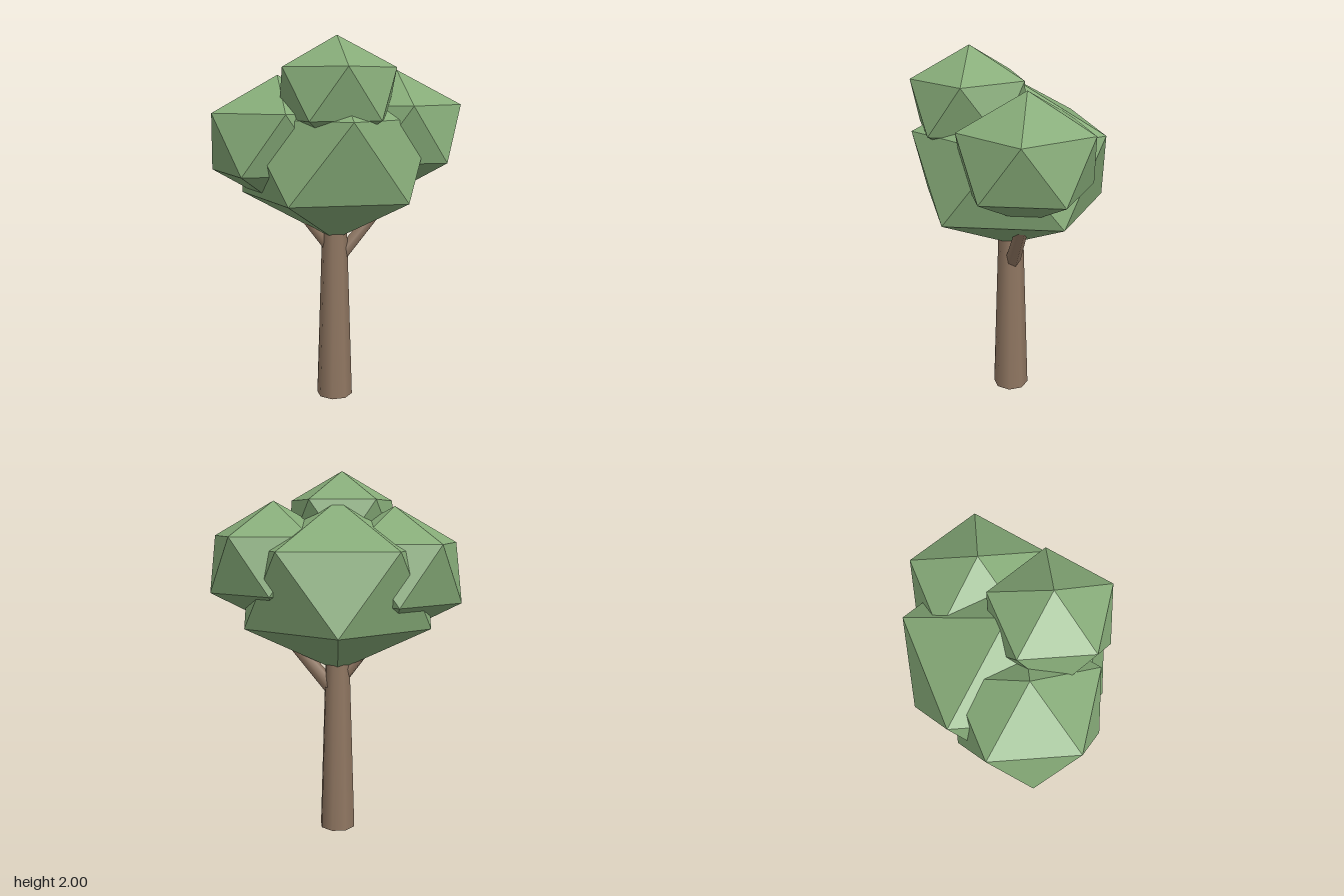
import * as THREE from 'three';

export function createModel() {
  const tree = new THREE.Group();
  tree.name = 'tree';

  const leafGreen = new THREE.MeshStandardMaterial({ color: 0x86ab78 });
  leafGreen.name = 'leaf green';
  const barkBrown = new THREE.MeshStandardMaterial({ color: 0x8f7661 });
  barkBrown.name = 'bark brown';

  function add(name, geometry, material) {
    const mesh = new THREE.Mesh(geometry, material);
    mesh.name = name;
    tree.add(mesh);
    return mesh;
  }

  // Tapered limb running from one point to another
  function limb(name, from, to, r0, r1, sides) {
    const a = new THREE.Vector3(...from);
    const b = new THREE.Vector3(...to);
    const dir = b.clone().sub(a);
    const mesh = add(name, new THREE.CylinderGeometry(r1, r0, dir.length(), sides), barkBrown);
    mesh.position.copy(a).add(b).multiplyScalar(0.5);
    mesh.quaternion.setFromUnitVectors(new THREE.Vector3(0, 1, 0), dir.normalize());
  }

  // Faceted leaf clump: icosahedron standing on a corner, slightly flattened
  function clump(name, x, y, z, radius, height) {
    const geometry = new THREE.IcosahedronGeometry(1, 0);
    geometry.rotateX(-Math.atan((1 + Math.sqrt(5)) / 2));
    geometry.rotateY(Math.PI / 2);
    const mesh = add(name, geometry, leafGreen);
    mesh.scale.set(radius, height, radius);
    mesh.position.set(x, y, z);
  }

  // Trunk and its two branches
  limb('trunk', [-0.005, 0, 0], [-0.005, 1.05, 0], 0.101, 0.067, 8);
  limb('leftBranch', [0.015, 0.8, -0.01], [0.31, 1.17, -0.1], 0.043, 0.03, 6);
  limb('rightBranch', [-0.01, 0.84, 0], [-0.26, 1.17, 0.07], 0.036, 0.026, 6);

  // Crown
  clump('mainFoliage', -0.005, 1.372, 0, 0.581, 0.464);
  clump('rightFoliage', -0.3, 1.455, 0.08, 0.414, 0.35);
  clump('leftFoliage', 0.32, 1.5, -0.11, 0.391, 0.333);
  clump('topFoliage', 0.035, 1.711, 0.207, 0.34, 0.289);

  return tree;
}
